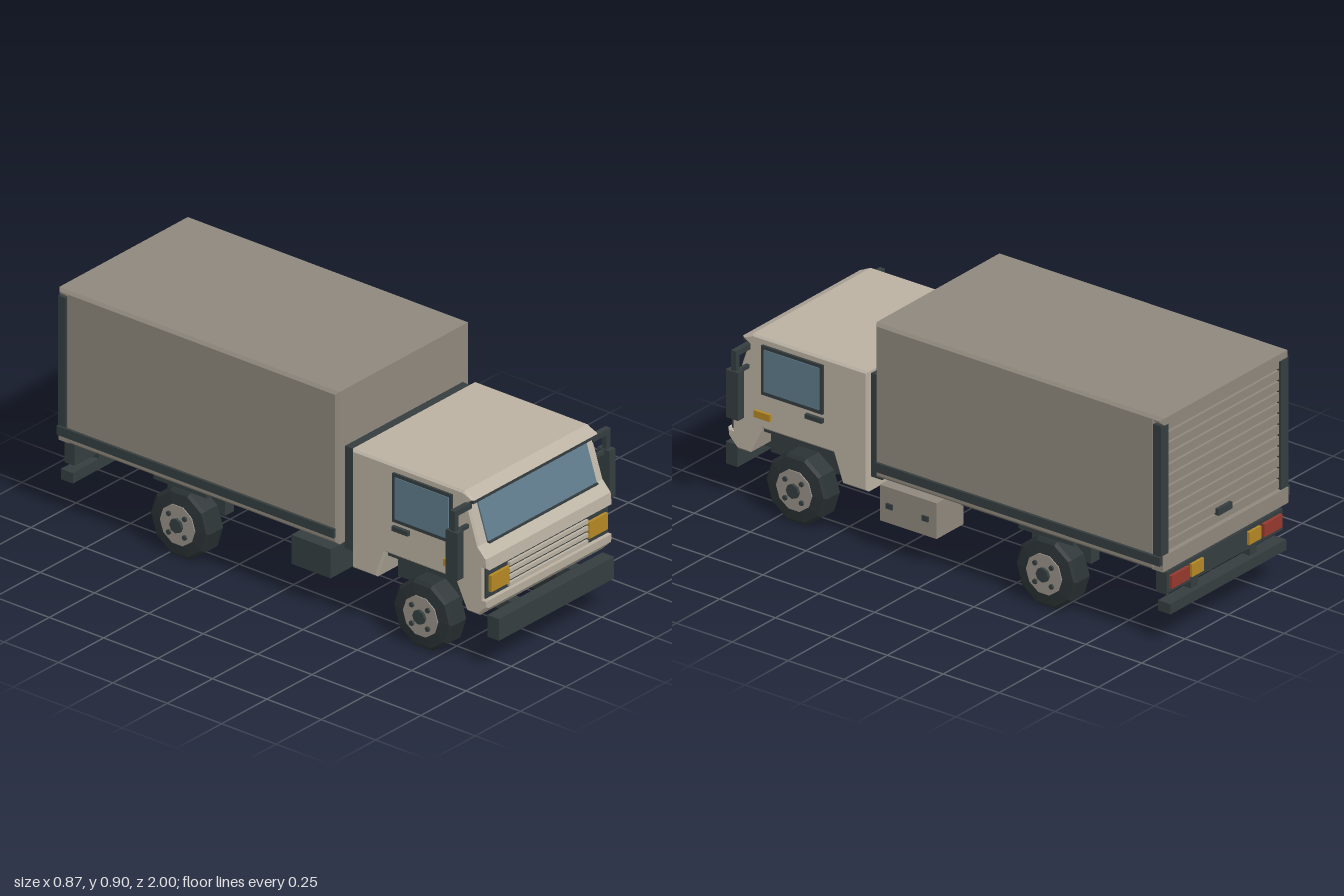
import * as THREE from 'three';

const mat = (name, color) => {
  const m = new THREE.MeshStandardMaterial({ color, flatShading: true });
  m.name = name;
  return m;
};

export function createModel() {
  const truck = new THREE.Group();
  truck.name = 'boxTruck';

  const cabPaint = mat('cabBeige', 0xbbb2a3);
  const boxPaint = mat('cargoGrey', 0x8f887d);
  const dark = mat('darkTrim', 0x353e40);
  const rubber = mat('tyreRubber', 0x2b3335);
  const glass = mat('windowGlass', 0x607c8d);
  const amber = mat('amberLamp', 0xb58824);
  const red = mat('redLamp', 0x96392f);
  const metal = mat('hubMetal', 0x989288);

  const add = (name, geo, material, parent = truck) => {
    const mesh = new THREE.Mesh(geo, material);
    mesh.name = name;
    parent.add(mesh);
    return mesh;
  };
  // Box given by its limits on each axis
  const box = (name, m, x0, x1, y0, y1, z0, z1, parent) => {
    const b = add(name, new THREE.BoxGeometry(x1 - x0, y1 - y0, z1 - z0), m, parent);
    b.position.set((x0 + x1) / 2, (y0 + y1) / 2, (z0 + z1) / 2);
    return b;
  };
  // The same box on both sides
  const pair = (name, m, x0, x1, ...rest) => {
    box(name + 'Left', m, x0, x1, ...rest);
    box(name + 'Right', m, -x1, -x0, ...rest);
  };
  // Side profile of [z, y] points, extruded across the width with chamfered edges
  const profile = (name, m, pts, halfWidth, bevel) => {
    const geo = new THREE.ExtrudeGeometry(new THREE.Shape(pts.map(p => new THREE.Vector2(...p))), {
      depth: 2 * (halfWidth - bevel), bevelEnabled: bevel > 0, bevelThickness: bevel,
      bevelSize: bevel, bevelOffset: -bevel, bevelSegments: 1,
    });
    geo.translate(0, 0, -(halfWidth - bevel));
    geo.rotateY(-Math.PI / 2);
    return add(name, geo, m);
  };

  // Cab shell with wheel arches and grille recess
  profile('cab', cabPaint, [
    [0.345, 0.215], [0.46, 0.215], [0.5, 0.325], [0.818, 0.325], [0.872, 0.215], [0.93, 0.215],
    [0.97, 0.255], [0.973, 0.287], [0.95, 0.287], [0.95, 0.405], [0.973, 0.405], [0.968, 0.45],
    [0.93, 0.49], [0.88, 0.642], [0.908, 0.662], [0.86, 0.685], [0.345, 0.685],
  ], 0.346, 0.008);
  box('cabBackPanel', dark, -0.325, 0.325, 0.27, 0.675, 0.295, 0.348);
  box('wheelWell', dark, -0.25, 0.25, 0.19, 0.33, 0.48, 0.85);
  box('archLiner', dark, -0.335, 0.335, 0.312, 0.328, 0.505, 0.815);

  // Windscreen and its trim
  const screen = add('windscreen', new THREE.BoxGeometry(0.6, 0.158, 0.008), glass);
  screen.position.set(0, 0.566, 0.908);
  screen.rotation.x = -0.32;
  box('windscreenSill', dark, -0.3, 0.3, 0.487, 0.494, 0.92, 0.943);
  box('visorTrim', dark, -0.341, 0.341, 0.645, 0.657, 0.87, 0.902);

  // Grille, slats and headlamps
  box('grille', dark, -0.338, 0.338, 0.286, 0.406, 0.94, 0.956);
  for (let i = 0; i < 4; i++) {
    const y = 0.3 + i * 0.0268;
    box('grilleSlat', cabPaint, -0.217, 0.217, y - 0.0075, y + 0.0075, 0.95, 0.966);
  }
  pair('headlamp', amber, 0.22, 0.322, 0.31, 0.375, 0.95, 0.968);

  // Cab side windows, handles, markers and mirrors
  pair('windowFrame', dark, 0.34, 0.355, 0.465, 0.658, 0.54, 0.813);
  pair('sideWindow', glass, 0.35, 0.358, 0.48, 0.645, 0.553, 0.8);
  pair('doorHandle', dark, 0.34, 0.36, 0.431, 0.449, 0.54, 0.615);
  pair('sideMarker', amber, 0.34, 0.357, 0.368, 0.395, 0.775, 0.845);
  pair('mirrorArmUpper', dark, 0.335, 0.43, 0.623, 0.645, 0.868, 0.89);
  pair('mirrorPost', dark, 0.409, 0.43, 0.56, 0.63, 0.868, 0.89);
  pair('mirrorArmLower', dark, 0.335, 0.41, 0.548, 0.563, 0.872, 0.886);
  pair('mirror', dark, 0.403, 0.437, 0.38, 0.567, 0.853, 0.908);

  // Front bumper
  box('frontBumper', dark, -0.318, 0.318, 0.127, 0.213, 0.947, 1);
  pair('bumperBracket', dark, 0.14, 0.19, 0.17, 0.215, 0.85, 0.95);

  // Cargo body with side rails and rear frame
  profile('cargoBody', boxPaint, [[-0.955, 0.296], [0.298, 0.296], [0.298, 0.9], [-0.955, 0.9]], 0.366, 0.011);
  profile('cargoRoofLip', boxPaint, [[-0.99, 0.872], [-0.94, 0.872], [-0.94, 0.9], [-0.99, 0.9]], 0.366, 0.011);
  box('cargoSill', boxPaint, -0.362, 0.362, 0.298, 0.36, -0.988, -0.94);
  pair('sideRail', dark, 0.355, 0.377, 0.325, 0.36, -0.985, 0.288);
  pair('rearPost', dark, 0.325, 0.369, 0.36, 0.873, -0.984, -0.95);

  // Roller shutter
  const slats = 12, step = 0.512 / slats;
  box('shutterBacking', dark, -0.326, 0.326, 0.36, 0.873, -0.962, -0.95);
  for (let i = 0; i < slats; i++) {
    const y = 0.36 + i * step;
    box('shutterSlat', boxPaint, -0.325, 0.325, y + 0.004, y + step - 0.004, -0.974, -0.955);
  }
  box('shutterHandle', dark, -0.04, 0.04, 0.398, 0.424, -0.988, -0.97);

  // Chassis
  pair('chassisRail', dark, 0.15, 0.2, 0.2, 0.266, -0.94, 0.9);
  for (const z of [-0.75, -0.45, -0.1, 0.25]) {
    box('crossMember', dark, -0.2, 0.2, 0.21, 0.26, z - 0.025, z + 0.025);
    pair('bodyMount', dark, 0.15, 0.2, 0.26, 0.3, z - 0.025, z + 0.025);
  }

  // Rear beam, lamps and bumper
  box('lampBeam', dark, -0.335, 0.335, 0.2, 0.285, -0.982, -0.937);
  pair('tailLamp', red, 0.215, 0.32, 0.22, 0.27, -0.995, -0.975);
  pair('rearIndicator', amber, 0.13, 0.2, 0.22, 0.27, -0.993, -0.975);
  box('rearBumper', dark, -0.335, 0.335, 0.127, 0.168, -1, -0.945);
  pair('rearBumperStrut', dark, 0.15, 0.19, 0.16, 0.21, -0.98, -0.945);

  // Toolbox and fuel tank
  box('toolbox', boxPaint, 0.19, 0.345, 0.122, 0.262, 0.037, 0.29);
  for (const z of [0.085, 0.245]) box('toolboxLatch', dark, 0.34, 0.352, 0.18, 0.2, z - 0.014, z + 0.014);
  box('fuelTank', dark, -0.335, -0.19, 0.135, 0.25, 0.06, 0.24);

  // Wheels, axles and rear inner fenders
  const lathe = pts => new THREE.LatheGeometry(pts.map(p => new THREE.Vector2(...p)), 10)
    .rotateZ(-Math.PI / 2);
  const tyreGeo = lathe([[0, 0.257], [0.13, 0.257], [0.137, 0.265], [0.137, 0.335], [0.125, 0.344],
    [0.08, 0.35], [0, 0.35]]);
  const disc = (r, x0, x1, n) => new THREE.CylinderGeometry(r, r, x1 - x0, n)
    .rotateZ(-Math.PI / 2).translate((x0 + x1) / 2, 0, 0);
  const hubGeo = disc(0.08, 0.33, 0.354, 10);
  const capGeo = disc(0.028, 0.34, 0.365, 8);
  const boltGeo = disc(0.01, 0.34, 0.362, 6);

  for (const [axle, z] of [['front', 0.668], ['rear', -0.449]]) {
    const shaft = add(axle + 'Axle', new THREE.CylinderGeometry(0.024, 0.024, 0.54, 8), dark);
    shaft.rotation.z = Math.PI / 2;
    shaft.position.set(0, 0.132, z);
    box(axle + 'AxleMount', dark, -0.2, 0.2, 0.15, 0.21, z - 0.06, z + 0.06);
    for (const side of [1, -1]) {
      const wheel = new THREE.Group();
      wheel.name = axle + 'Wheel' + (side > 0 ? 'Left' : 'Right');
      wheel.position.set(0, 0.13, z);
      if (side < 0) wheel.rotation.y = Math.PI;
      add('tyre', tyreGeo, rubber, wheel);
      add('rim', hubGeo, metal, wheel);
      add('hubCap', capGeo, dark, wheel);
      for (let i = 0; i < 4; i++) {
        const a = Math.PI / 4 + i * Math.PI / 2;
        add('wheelBolt', boltGeo, dark, wheel).position.set(0, 0.052 * Math.sin(a), 0.052 * Math.cos(a));
      }
      truck.add(wheel);
    }
  }
  pair('rearInnerFender', dark, 0.2, 0.25, 0.17, 0.285, -0.58, -0.315);
  pair('rearFenderTop', dark, 0.25, 0.34, 0.27, 0.285, -0.57, -0.325);

  return truck;
}
